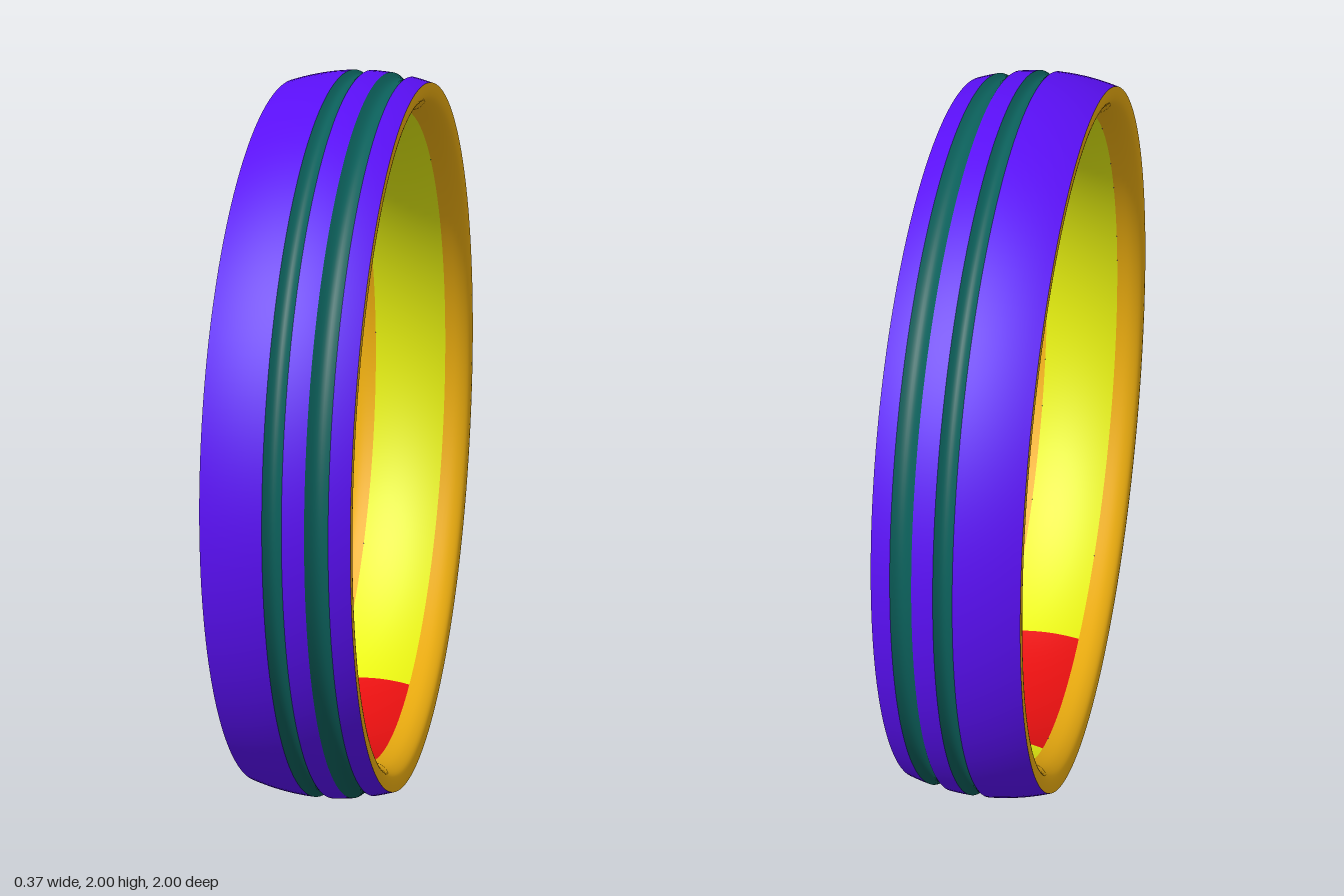
import * as THREE from 'three';

const HALF = 0.185;      // half the band width
const SEGMENTS = 192;
const crown = x => 1 - 0.03 * (x / HALF) ** 2;            // domed outer radius
const bore = x => 0.88 + 0.015 * (x / 0.11) ** 2;         // gently domed inner radius

// Sample radius(x) from x0 to x1 as lathe points (radius, position along the axis)
function sample(radius, x0, x1, n) {
  return Array.from({ length: n + 1 }, (_, i) => {
    const x = x0 + (x1 - x0) * i / n;
    return new THREE.Vector2(radius(x), x);
  });
}

export function createModel() {
  const ring = new THREE.Group();
  ring.name = 'ring';
  const paint = color => new THREE.MeshStandardMaterial({ color, side: THREE.DoubleSide });
  const purple = paint(0x5a0ff5), teal = paint(0x0b5f5a), gold = paint(0xf0b010);
  const yellow = paint(0xe8f210), red = paint(0xe81010);

  function band(name, points, material, start = 0, length = Math.PI * 2) {
    const segments = Math.ceil(SEGMENTS * length / (Math.PI * 2));
    const mesh = new THREE.Mesh(new THREE.LatheGeometry(points, segments, start, length), material);
    mesh.name = name;
    ring.add(mesh);
  }

  // Outer surface, split by two rounded grooves
  const grooves = [[-0.024, 0.024], [0.078, 0.134]];
  let from = -HALF;
  for (const [a, b] of grooves) {
    band('outerBand', sample(crown, from, a, 10), purple);
    const dip = x => crown(x) - 0.013 * Math.sin(Math.PI * (x - a) / (b - a));
    band('groove', sample(dip, a, b, 10), teal);
    from = b;
  }
  band('outerBand', sample(crown, from, HALF, 10), purple);

  // Rounded rims, curving from the outer edge into the bore
  const rim = new THREE.SplineCurve([
    [0.97, HALF], [0.945, HALF], [0.925, 0.177], [0.907, 0.15], [0.895, 0.11],
  ].map(([r, x]) => new THREE.Vector2(r, x))).getPoints(16);
  band('leftRim', rim, gold);
  band('rightRim', rim.map(p => new THREE.Vector2(p.x, -p.y)).reverse(), gold);

  // Inner surface, with a coloured patch at the bottom (a quarter turn into the lathe)
  const inner = sample(bore, 0.11, -0.11, 16);
  const half = THREE.MathUtils.degToRad(18.6);
  band('innerPatch', inner, red, Math.PI / 2 - half, half * 2);
  band('innerBand', inner, yellow, Math.PI / 2 + half, Math.PI * 2 - half * 2);

  // Lay the lathe axis along x and stand the ring on the ground
  ring.rotation.z = -Math.PI / 2;
  ring.position.y = 1;
  const model = new THREE.Group();
  model.name = 'groovedRing';
  model.add(ring);
  return model;
}
